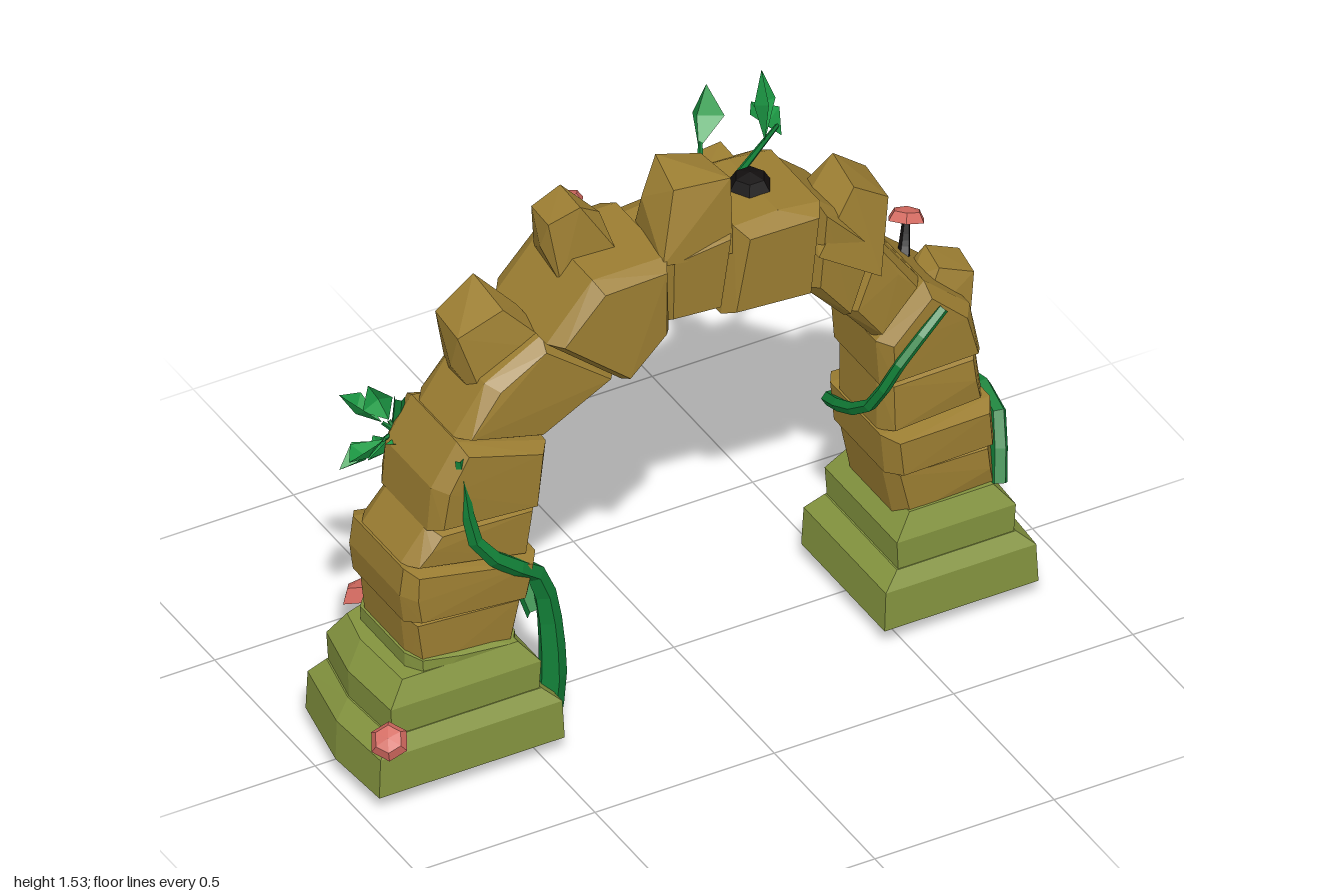
import * as THREE from 'three';
import { ConvexGeometry } from 'three/addons/geometries/ConvexGeometry.js';

const mat = (name, color, side = THREE.FrontSide) => {
  const m = new THREE.MeshStandardMaterial({ color, side });
  m.name = name;
  return m;
};
const V = (p) => new THREE.Vector3(...p);

export function createModel() {
  const model = new THREE.Group();
  model.name = 'stoneArch';
  const stone = mat('stone', 0x9c7e32);
  const moss = mat('moss', 0x84943f);
  const vineGreen = mat('vineGreen', 0x128038);
  const leafGreen = mat('leafGreen', 0x1d9c46, THREE.DoubleSide);
  const capRed = mat('capRed', 0xd2695f);
  const black = mat('black', 0x120f0f);

  let seed = 7;
  const rnd = () => (seed = (seed * 16807) % 2147483647) / 2147483647 - 0.5;

  const add = (name, geo, material, parent = model) => {
    const mesh = new THREE.Mesh(geo, material);
    mesh.name = name;
    parent.add(mesh);
    return mesh;
  };
  // Faceted normals
  const facet = (geo) => {
    const g = geo.index ? geo.toNonIndexed() : geo;
    g.computeVertexNormals();
    return g;
  };

  // Chamfered stone from a convex front outline and a depth range
  const block = (name, outline, zb, zf, material) => {
    const mid = outline.reduce((s, p) => s.add(p), new THREE.Vector2()).divideScalar(outline.length);
    const pts = [];
    for (const p of outline) {
      const q = p.clone().lerp(mid, 0.03 / p.distanceTo(mid));
      for (const [z, d] of [[zb, 0.042], [zf, -0.042]]) {
        pts.push(new THREE.Vector3(p.x, p.y, z + d), new THREE.Vector3(q.x, q.y, z + rnd() * 0.012));
      }
    }
    add(name, new ConvexGeometry(pts), material);
  };

  // Joints between arch stones: outer x, y and inner x, y, from the right foot over the crown
  const joints = [
    [-0.82, 0.3, -0.54, 0.3], [-0.84, 0.49, -0.51, 0.46], [-0.84, 0.64, -0.49, 0.57],
    [-0.77, 0.73, -0.47, 0.71], [-0.69, 0.96, -0.45, 0.88], [-0.44, 1.18, -0.24, 1.01],
    [-0.12, 1.32, -0.115, 1.11], [0.08, 1.34, 0.045, 1.1], [0.31, 1.33, 0.28, 1.08],
    [0.48, 1.16, 0.39, 0.96], [0.61, 0.98, 0.48, 0.85], [0.76, 0.73, 0.49, 0.72],
    [0.78, 0.58, 0.49, 0.57], [0.79, 0.46, 0.5, 0.46], [0.81, 0.31, 0.53, 0.31],
  ];
  // How far each stone stands proud, and how far its outer face bulges
  const proud = [0.4, 1, 0.3, 0.7, 0, 1, 0.2, 0.9, 0.5, 0, 0.7, 0.2, 1, 0.5];
  const bulge = [0, 0.01, 0, 0.03, 0.04, 0.08, 0, 0.01, 0.01, 0, 0.05, 0, 0, 0];
  proud.forEach((p, i) => {
    const [o0, i0, o1, i1] = [joints[i], joints[i + 1]]
      .flatMap(([a, b, c, d]) => [new THREE.Vector2(a, b), new THREE.Vector2(c, d)]);
    const om = o0.clone().add(o1).divideScalar(2);
    const im = i0.clone().add(i1).divideScalar(2);
    om.addScaledVector(om.clone().sub(im).normalize(), bulge[i]);
    const outline = [o0, i0, i1, o1, om];
    const centre = om.clone().lerp(im, 0.5);
    outline.forEach((q) => q.sub(centre).multiplyScalar(1 + 0.05 * p).add(centre));
    block('archStone' + (i + 1), outline, -0.08 - 0.045 * p, 0.17 + 0.04 * p, stone);
  });
  const patch = [[-0.834, 0.28], [-0.527, 0.28], [-0.53, 0.34], [-0.72, 0.38], [-0.838, 0.38]];
  block('mossPatch', patch.map(([x, y]) => new THREE.Vector2(x, y)), -0.108, 0.196, moss);

  // Mossy stepped feet
  const foot = (name, cx, hw, s) => {
    const g = new THREE.Group();
    g.name = name;
    model.add(g);
    const ring = ([y, inset]) =>
      [[-1, 0.255], [0.95, 0.255], [1, 0.06], [0.85, -0.16], [0.1, -0.2], [-1, -0.16]]
        .map(([u, z]) => V([cx + s * u * (hw - inset), y, z - Math.sign(z) * inset * 0.55]));
    const tiers = [[[0.05, 0], [0.16, 0.005], [0.2, 0.05]], [[0.19, 0.055], [0.28, 0.05], [0.34, 0.1]]];
    tiers.forEach((t, i) => add('footTier' + (i + 1), new ConvexGeometry(t.flatMap(ring)), moss, g));
  };
  foot('rightFoot', -0.712, 0.265, -1);
  foot('leftFoot', 0.665, 0.22, 1);

  // Loose boulders: centre, half size, tilt
  const boulder = (x, y, z, h, tilt) => {
    const pts = [];
    for (const a of [-1, 1]) {
      for (const b of [-1, 1]) for (const c of [-1, 1]) {
        const k = b > 0 ? 0.62 : 1;
        pts.push(V([a * k + rnd() * 0.3, b + rnd() * 0.3, c * k + rnd() * 0.3]).multiplyScalar(h));
      }
      pts.push(V([a * 1.05, 0.2, rnd()]).multiplyScalar(h));
    }
    const m = add('boulder', new ConvexGeometry(pts), stone);
    m.position.set(x, y, z);
    m.rotation.z = tilt;
  };
  boulder(-0.54, 1.14, 0.02, 0.105, 0.5);
  boulder(-0.3, 1.37, 0, 0.08, 0.35);
  boulder(-0.01, 1.39, 0.08, 0.1, -0.1);
  boulder(0.43, 1.22, 0.09, 0.1, -0.55);
  boulder(0.7, 0.87, 0.05, 0.08, -0.4);
  boulder(0.19, 1.28, -0.12, 0.055, 0.1);

  // Tapered faceted tube through points
  const tube = (name, pts, r0, r1, material, parent = model) => {
    const sides = 5, n = pts.length * 2;
    const curve = new THREE.CatmullRomCurve3(pts.map(V));
    const geo = new THREE.TubeGeometry(curve, n, 1, sides);
    const pos = geo.attributes.position, v = new THREE.Vector3();
    for (let i = 0; i < pos.count; i++) {
      const t = Math.floor(i / (sides + 1)) / n, c = curve.getPointAt(t);
      v.fromBufferAttribute(pos, i).sub(c).multiplyScalar(r0 + (r1 - r0) * t).add(c);
      pos.setXYZ(i, v.x, v.y, v.z);
    }
    add(name, facet(geo), material, parent);
  };

  // Climbing vines
  tube('rightFrontVine', [[-0.46, 0.03, 0.17], [-0.44, 0.2, 0.18], [-0.48, 0.5, 0.18],
    [-0.58, 0.59, 0.21], [-0.66, 0.67, 0.2], [-0.7, 0.93, 0.18]], 0.042, 0.012, vineGreen);
  tube('rightBackVine', [[-0.48, 0.38, 0.17], [-0.47, 0.5, -0.08], [-0.58, 0.58, -0.14],
    [-0.7, 0.72, -0.12], [-0.72, 0.96, -0.08]], 0.024, 0.014, vineGreen);
  tube('leftRootVine', [[0.81, 0.01, -0.15], [0.86, 0.25, -0.19], [0.82, 0.47, -0.1]], 0.045, 0.022, vineGreen);
  tube('leftVine', [[0.8, 0.33, 0.19], [0.84, 0.5, 0.1], [0.82, 0.48, -0.1], [0.66, 0.44, -0.14],
    [0.5, 0.5, -0.12], [0.47, 0.64, 0.13], [0.52, 0.81, 0.21], [0.64, 0.92, 0.2]], 0.023, 0.014, vineGreen);
  tube('crownSprig', [[0.05, 1.36, 0], [0.1, 1.37, -0.05], [0.13, 1.41, -0.1]], 0.01, 0.006, vineGreen);
  tube('crownTendril', [[0.18, 1.36, 0], [0.3, 1.34, -0.1], [0.4, 1.3, -0.2]], 0.01, 0.006, vineGreen);

  // Folded leaf from base to tip
  const leaf = (a, b, w, up) => {
    const A = V(a), B = V(b), dir = B.clone().sub(A);
    const side = dir.clone().cross(V(up)).normalize().multiplyScalar(w);
    const lift = side.clone().cross(dir).normalize().multiplyScalar(w * 0.45);
    const mid = A.clone().lerp(B, 0.5).sub(lift);
    const rim = A.clone().lerp(B, 0.55).add(lift);
    const L = rim.clone().sub(side), R = rim.clone().add(side);
    const geo = new THREE.BufferGeometry().setFromPoints([A, mid, L, L, mid, B, A, R, mid, mid, R, B]);
    add('leaf', facet(geo), leafGreen);
  };
  leaf([0.12, 1.4, -0.09], [0.18, 1.53, -0.16], 0.05, [0.2, 0.4, 1]);
  leaf([0.31, 1.35, -0.1], [0.34, 1.51, -0.17], 0.05, [1, 0.2, 0.7]);
  leaf([0.39, 1.3, -0.16], [0.4, 1.29, -0.33], 0.04, [0, 1, 0.3]);
  // Leaf cluster fanned round a sprig
  const sprig = [-0.73, 0.86, -0.08];
  for (let i = 0; i < 6; i++) {
    const a = (i * Math.PI) / 3;
    const tip = [-0.82 + 0.08 * Math.cos(a), 0.87 + 0.13 * Math.sin(a), -0.09 + 0.08 * Math.cos(2 * a)];
    const start = V(sprig).lerp(V(tip), 0.25).toArray();
    tube('leafStem', [sprig, start], 0.008, 0.005, vineGreen);
    leaf(start, tip, 0.042, [-0.5, 1, -0.2]);
  }

  // Mushrooms: root, cap centre, radius; the cap follows the stem's lean
  const mushroom = (root, top, r, capMat) => {
    const g = new THREE.Group();
    g.name = 'mushroom';
    model.add(g);
    const mid = V(root).lerp(V(top), 0.5).add(new THREE.Vector3(0, -r * 0.2, 0)).toArray();
    tube('stem', [root, mid, top], r * 0.36, r * 0.2, black, g);
    const head = new THREE.Group();
    head.name = 'cap';
    head.position.set(...top);
    head.quaternion.setFromUnitVectors(new THREE.Vector3(0, 1, 0), V(top).sub(V(root)).normalize());
    g.add(head);
    const dome = new THREE.SphereGeometry(r, 6, 2, 0, Math.PI * 2, 0, Math.PI / 2).scale(1, 0.7, 1);
    add('capTop', facet(dome), capMat, head);
    add('gills', new THREE.CircleGeometry(r, 6).rotateX(Math.PI / 2), black, head);
  };
  mushroom([-0.9, 0.14, 0.21], [-0.945, 0.225, 0.27], 0.05, capRed);
  mushroom([-0.74, 0.17, -0.14], [-0.74, 0.29, -0.2], 0.07, capRed);
  mushroom([0.85, 0.06, -0.1], [0.915, 0.15, -0.18], 0.075, capRed);
  mushroom([0.64, 0.94, 0], [0.665, 1.03, -0.03], 0.05, capRed);
  mushroom([-0.25, 1.33, -0.06], [-0.25, 1.38, -0.08], 0.042, capRed);
  mushroom([0.19, 1.33, 0.04], [0.19, 1.35, 0.04], 0.056, black);

  return model;
}
